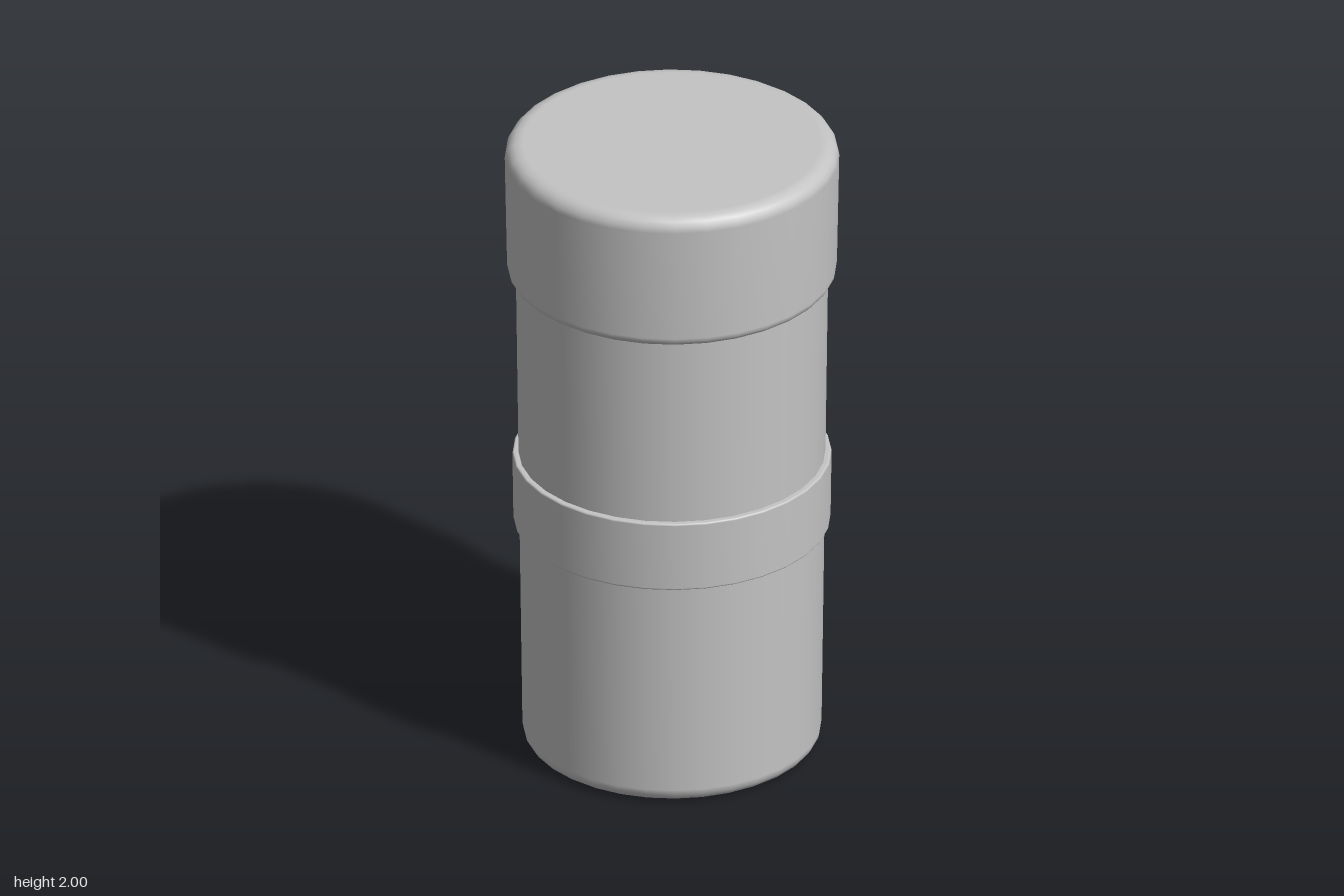
import * as THREE from 'three';

const SEGMENTS = 32;

// Closed solid of revolution: a tapered drum with rounded rims
function drum(name, y0, r0, y1, r1, bevel0, bevel1, material) {
  const profile = [new THREE.Vector2(0, y0), new THREE.Vector2(r0 - bevel0 - 0.01, y0)];
  const steps = 4;
  for (let i = 0; i <= steps; i++) {
    const a = (i / steps) * Math.PI / 2;
    profile.push(new THREE.Vector2(r0 - bevel0 + bevel0 * Math.sin(a), y0 + bevel0 * (1 - Math.cos(a))));
  }
  for (let i = 0; i <= steps; i++) {
    const a = (i / steps) * Math.PI / 2;
    profile.push(new THREE.Vector2(r1 - bevel1 + bevel1 * Math.cos(a), y1 - bevel1 + bevel1 * Math.sin(a)));
  }
  profile.push(new THREE.Vector2(r1 - bevel1 - 0.01, y1), new THREE.Vector2(0, y1));
  const mesh = new THREE.Mesh(new THREE.LatheGeometry(profile, SEGMENTS), material);
  mesh.name = name;
  return mesh;
}

export function createModel() {
  const group = new THREE.Group();
  group.name = 'tumbler';
  const grey = new THREE.MeshStandardMaterial({ color: 0xc4c4c4 });
  grey.name = 'light grey';

  // Tapered cup, running up inside the lid
  group.add(drum('cupBody', 0, 0.447, 1.6, 0.467, 0.045, 0.01, grey));
  // Grip band around the middle
  group.add(drum('gripBand', 0.735, 0.474, 0.96, 0.477, 0.006, 0.006, grey));
  // Wide lid with soft rims
  group.add(drum('lid', 1.565, 0.493, 2, 0.5, 0.03, 0.045, grey));
  return group;
}
